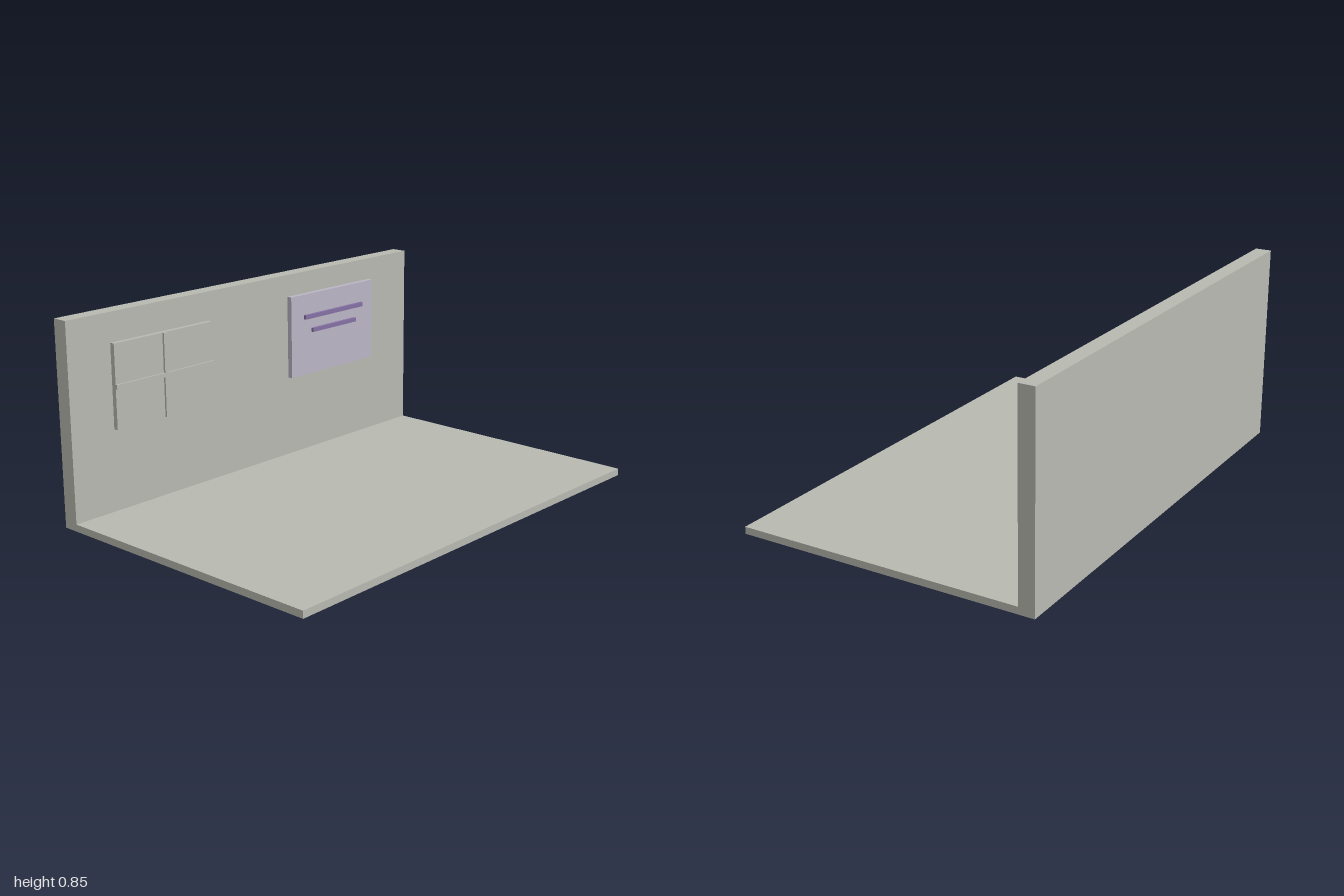
import * as THREE from 'three';

const paint = (name, color) => {
  const m = new THREE.MeshStandardMaterial({ color });
  m.name = name;
  return m;
};

export function createModel() {
  const stone = paint('warm grey', 0xb8bab1);
  const lilac = paint('pale lilac', 0xbcb6c6);
  const violet = paint('muted violet', 0x8672a4);
  const model = new THREE.Group();
  model.name = 'roomCorner';

  // Box given by its limits on each axis
  const slab = (parent, name, material, [x0, x1], [y0, y1], [z0, z1]) => {
    const mesh = new THREE.Mesh(new THREE.BoxGeometry(x1 - x0, y1 - y0, z1 - z0), material);
    mesh.position.set((x0 + x1) / 2, (y0 + y1) / 2, (z0 + z1) / 2);
    mesh.name = name;
    parent.add(mesh);
  };
  const group = (name) => {
    const g = new THREE.Group();
    g.name = name;
    model.add(g);
    return g;
  };

  // Floor and back wall
  const wallFront = -0.579;
  slab(model, 'floor', stone, [-1, 1], [0, 0.03], [wallFront, 0.647]);
  slab(model, 'backWall', stone, [-1, 1], [0, 0.848], [-0.647, wallFront]);

  // Window: pane with a raised cross of glazing bars
  const win = group('window');
  const pane = -0.558, bar = -0.549;
  slab(win, 'windowPane', stone, [-0.79, -0.272], [0.373, 0.725], [wallFront, pane]);
  slab(win, 'uprightBar', stone, [-0.541, -0.523], [0.373, 0.725], [pane, bar]);
  for (const [x0, x1] of [[-0.79, -0.541], [-0.523, -0.272]]) {
    slab(win, 'crossBar', stone, [x0, x1], [0.541, 0.559], [pane, bar]);
  }

  // Notice board with two raised strips
  const board = group('noticeBoard');
  const face = -0.556;
  slab(board, 'boardPanel', lilac, [0.2, 0.738], [0.385, 0.751], [wallFront, face]);
  slab(board, 'upperStrip', violet, [0.279, 0.659], [0.64, 0.659], [face, -0.543]);
  slab(board, 'lowerStrip', violet, [0.326, 0.611], [0.576, 0.594], [face, -0.543]);

  return model;
}
